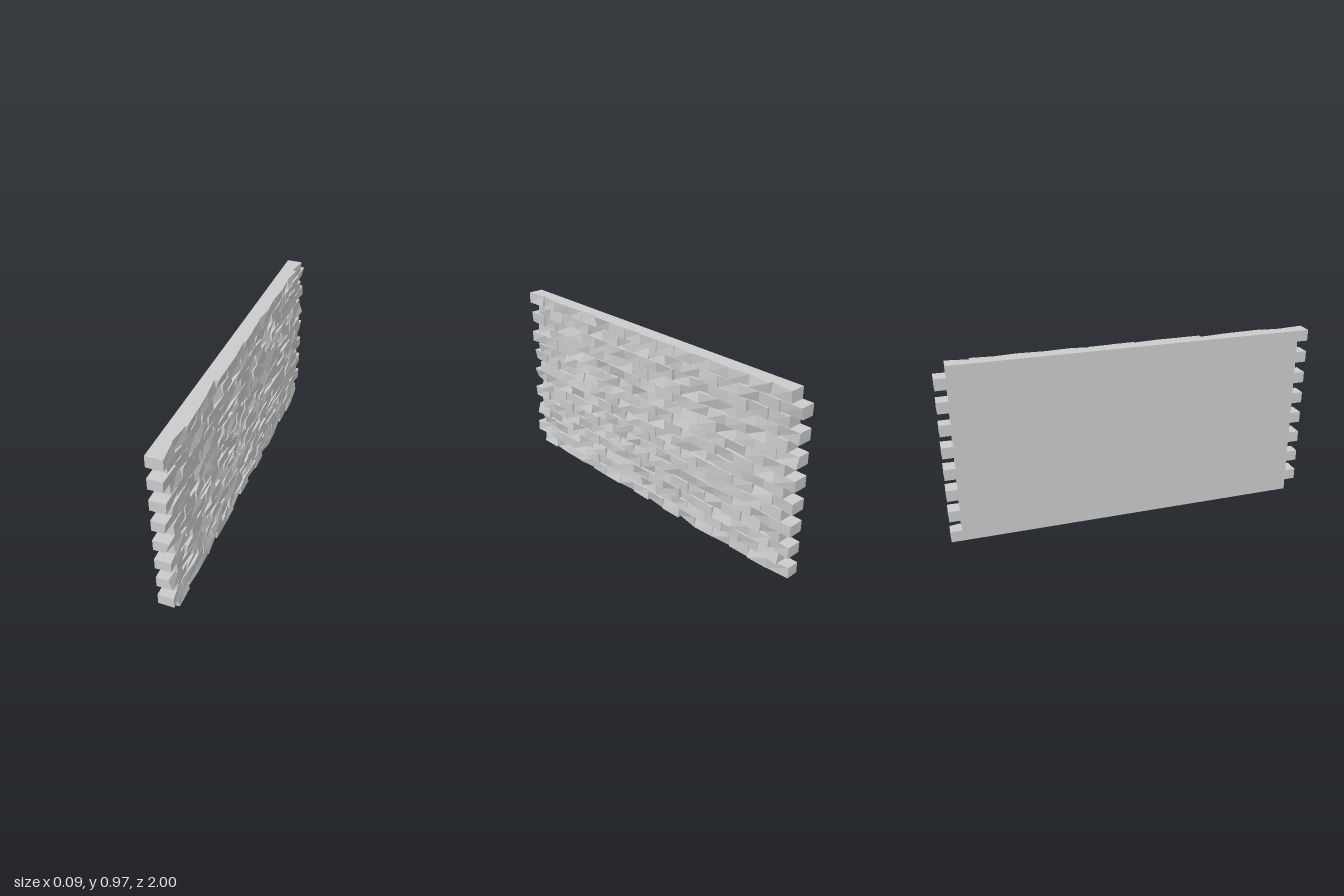
import * as THREE from 'three';
import { mergeGeometries } from 'three/addons/utils/BufferGeometryUtils.js';

const COURSES = 16, BRICKS = 16;
const H = 0.97 / COURSES;          // course height
const L = 2 / (BRICKS + 0.5);      // brick length; odd courses shift by half
const BACK = -0.046, FACE = 0.043; // flat back, outermost point of the rough face

function seeded(seed) {
  return () => {
    seed = (seed * 1664525 + 1013904223) >>> 0;
    return seed / 4294967296;
  };
}

// A box with a flat back whose four front corners are chipped to different depths
function roughBrick(y, z, rand) {
  const g = new THREE.BoxGeometry(1, H, L);
  const p = g.attributes.position;
  const base = 0.006 * rand();
  const depth = [0, 1, 2, 3].map(() => base + 0.024 * rand() ** 2.2);
  for (let i = 0; i < p.count; i++) {
    const corner = (p.getY(i) > 0 ? 2 : 0) + (p.getZ(i) > 0 ? 1 : 0);
    p.setX(i, p.getX(i) > 0 ? FACE - depth[corner] : BACK);
  }
  g.translate(0, y, z);
  const flat = g.toNonIndexed();
  flat.computeVertexNormals();
  return flat;
}

export function createModel() {
  const wall = new THREE.Group();
  wall.name = 'brickWall';
  const material = new THREE.MeshStandardMaterial({ color: 0xcccccc, flatShading: true });
  const rand = seeded(7);

  // Running bond: each course is offset half a brick, leaving toothed ends
  for (let row = 0; row < COURSES; row++) {
    const start = -1 + (row % 2) * L / 2;
    const bricks = [];
    for (let i = 0; i < BRICKS; i++) {
      bricks.push(roughBrick((row + 0.5) * H, start + (i + 0.5) * L, rand));
    }
    const course = new THREE.Mesh(mergeGeometries(bricks), material);
    course.name = `brickCourse${row + 1}`;
    wall.add(course);
  }
  return wall;
}
